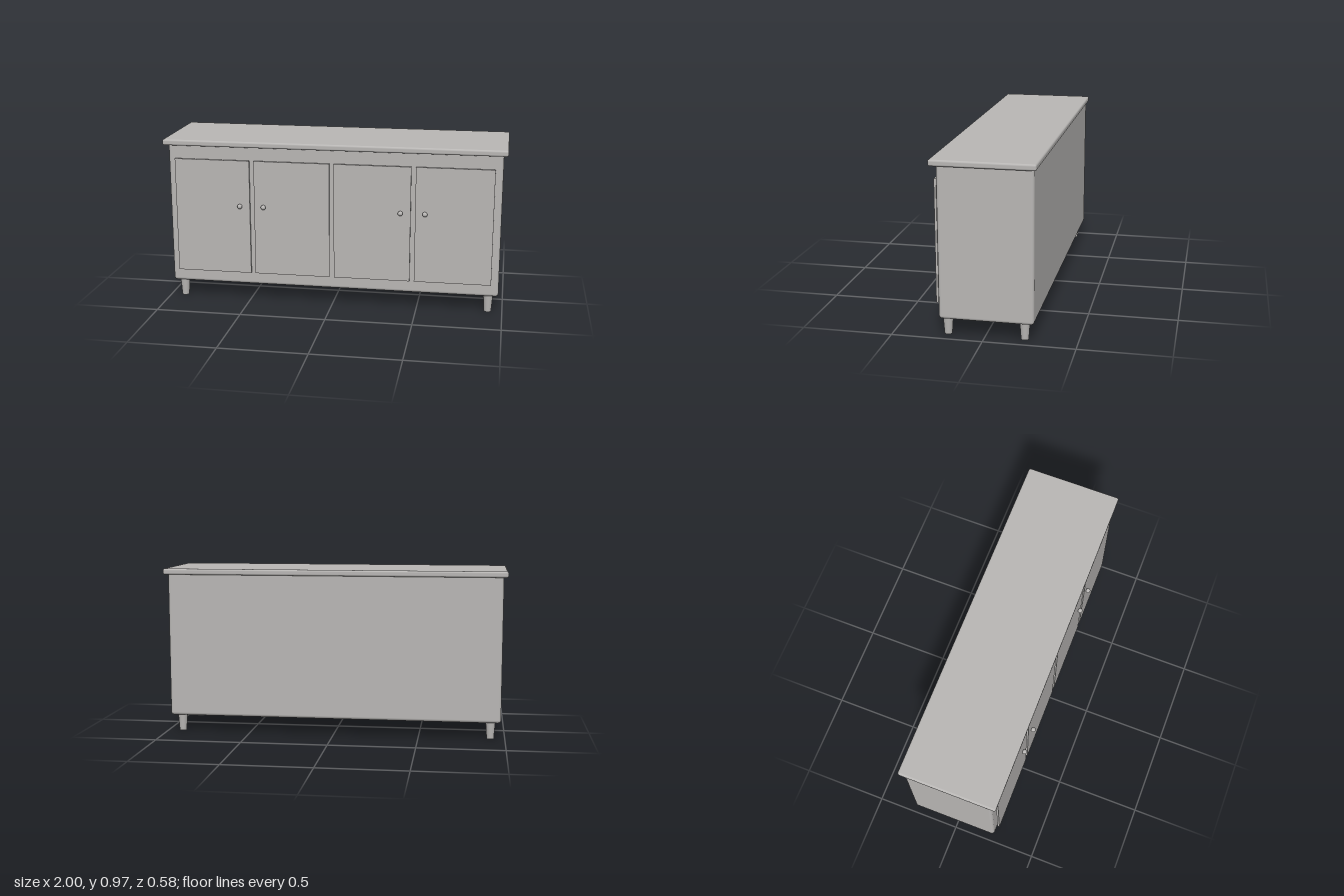
import * as THREE from 'three';
import { RoundedBoxGeometry } from 'three/addons/geometries/RoundedBoxGeometry.js';

export function createModel() {
  const sideboard = new THREE.Group();
  sideboard.name = 'sideboard';
  const grey = new THREE.MeshStandardMaterial({ color: 0xb8b6b4 });
  grey.name = 'warmGrey';

  const add = (name, geometry, x, y, z) => {
    const mesh = new THREE.Mesh(geometry, grey);
    mesh.name = name;
    mesh.position.set(x, y, z);
    sideboard.add(mesh);
  };

  // Rounded carcass, its upper edge sunk into the worktop
  add('cabinetBody', new RoundedBoxGeometry(1.95, 0.855, 0.515, 5, 0.018), 0, 0.5275, -0.014);

  // Overhanging top slab
  add('topSlab', new RoundedBoxGeometry(2, 0.035, 0.565, 5, 0.011), 0, 0.9565, -0.0035);

  // Thin doors standing just proud of the body, each with a round knob
  const doorGeometry = new THREE.BoxGeometry(0.446, 0.683, 0.012);
  const knobGeometry = new THREE.SphereGeometry(0.0145, 24, 16);
  const knobX = [-0.544, -0.403, 0.401, 0.542];
  knobX.forEach((x, i) => {
    add('door' + (i + 1), doorGeometry, (i - 1.5) * 0.4725, 0.518, 0.259);
    add('knob' + (i + 1), knobGeometry, x, 0.587, 0.2755);
  });

  // Tapered round legs at the four corners
  const legGeometry = new THREE.CylinderGeometry(0.0285, 0.021, 0.105, 32);
  for (const [side, x] of [['Left', 0.916], ['Right', -0.916]]) {
    add('front' + side + 'Leg', legGeometry, x, 0.0525, 0.205);
    add('back' + side + 'Leg', legGeometry, x, 0.0525, -0.214);
  }

  return sideboard;
}
